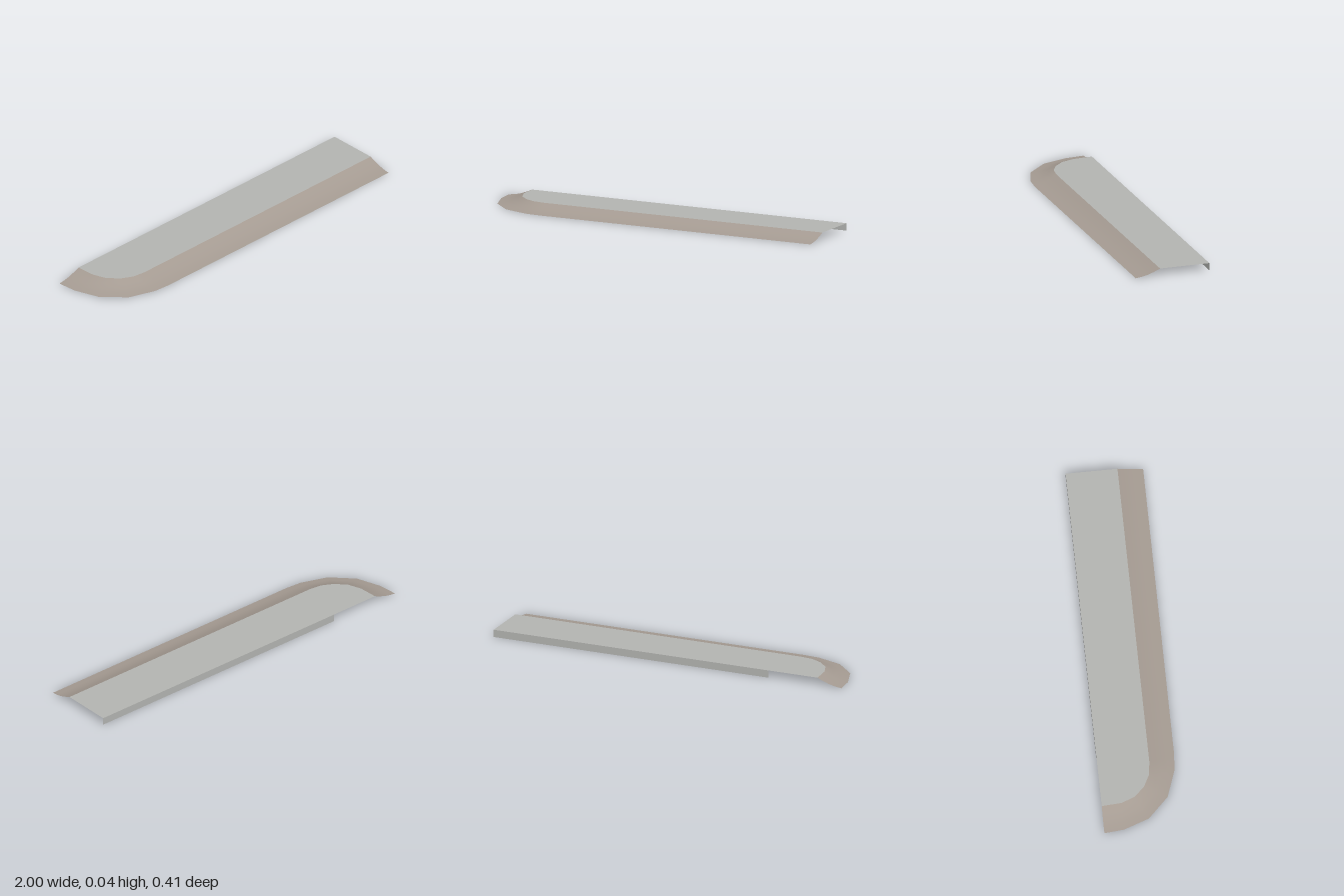
import * as THREE from 'three';

export function createModel() {
  const model = new THREE.Group();
  const topGrey = new THREE.MeshStandardMaterial({ color: 0xb3b4b1, side: THREE.DoubleSide });
  topGrey.name = 'top grey';
  const rimTaupe = new THREE.MeshStandardMaterial({ color: 0xa59b92, side: THREE.DoubleSide });
  rimTaupe.name = 'rim taupe';

  const height = 0.04, back = -0.205;

  // Matching plan outlines [x, z], from the back left round to the open right end
  const outer = [[-1, back], [-0.99, -0.1], [-0.942, 0.035], [-0.832, 0.145], [-0.69, 0.195], [-0.6, 0.203], [1, 0.203]];
  const inner = [[-0.862, back], [-0.855, -0.1], [-0.828, -0.028], [-0.775, 0.027], [-0.715, 0.058], [-0.645, 0.068], [1, 0.068]];

  // Concave slope: [fraction from outer to inner edge, height]
  const profile = [[0, 0.001], [0.27, 0.006], [0.52, 0.014], [0.76, 0.026], [1, height]];

  // Flat top panel
  const shape = new THREE.Shape([...inner, [1, back]].map(([x, z]) => new THREE.Vector2(x, -z)));
  const topGeometry = new THREE.ShapeGeometry(shape).rotateX(-Math.PI / 2).translate(0, height, 0);
  const top = new THREE.Mesh(topGeometry, topGrey);
  top.name = 'topPanel';
  model.add(top);

  // Sloping rim lofted between the two outlines
  const positions = [], indices = [], n = profile.length;
  outer.forEach(([ox, oz], i) => {
    const [ix, iz] = inner[i];
    profile.forEach(([t, y]) => positions.push(ox + (ix - ox) * t, y, oz + (iz - oz) * t));
    if (i === 0) return;
    for (let j = 0; j < n - 1; j++) {
      const a = (i - 1) * n + j, b = i * n + j;
      indices.push(a, b, b + 1, a, b + 1, a + 1);
    }
  });
  const rimGeometry = new THREE.BufferGeometry();
  rimGeometry.setAttribute('position', new THREE.Float32BufferAttribute(positions, 3));
  rimGeometry.setIndex(indices);
  rimGeometry.computeVertexNormals();
  const rim = new THREE.Mesh(rimGeometry, rimTaupe);
  rim.name = 'slopingRim';
  model.add(rim);

  // Back wall, stopping short of the rounded end
  const wallLeft = -0.58;
  const wall = new THREE.Mesh(new THREE.PlaneGeometry(1 - wallLeft, height).rotateY(Math.PI), topGrey);
  wall.position.set((1 + wallLeft) / 2, height / 2, back);
  wall.name = 'backWall';
  model.add(wall);

  return model;
}
